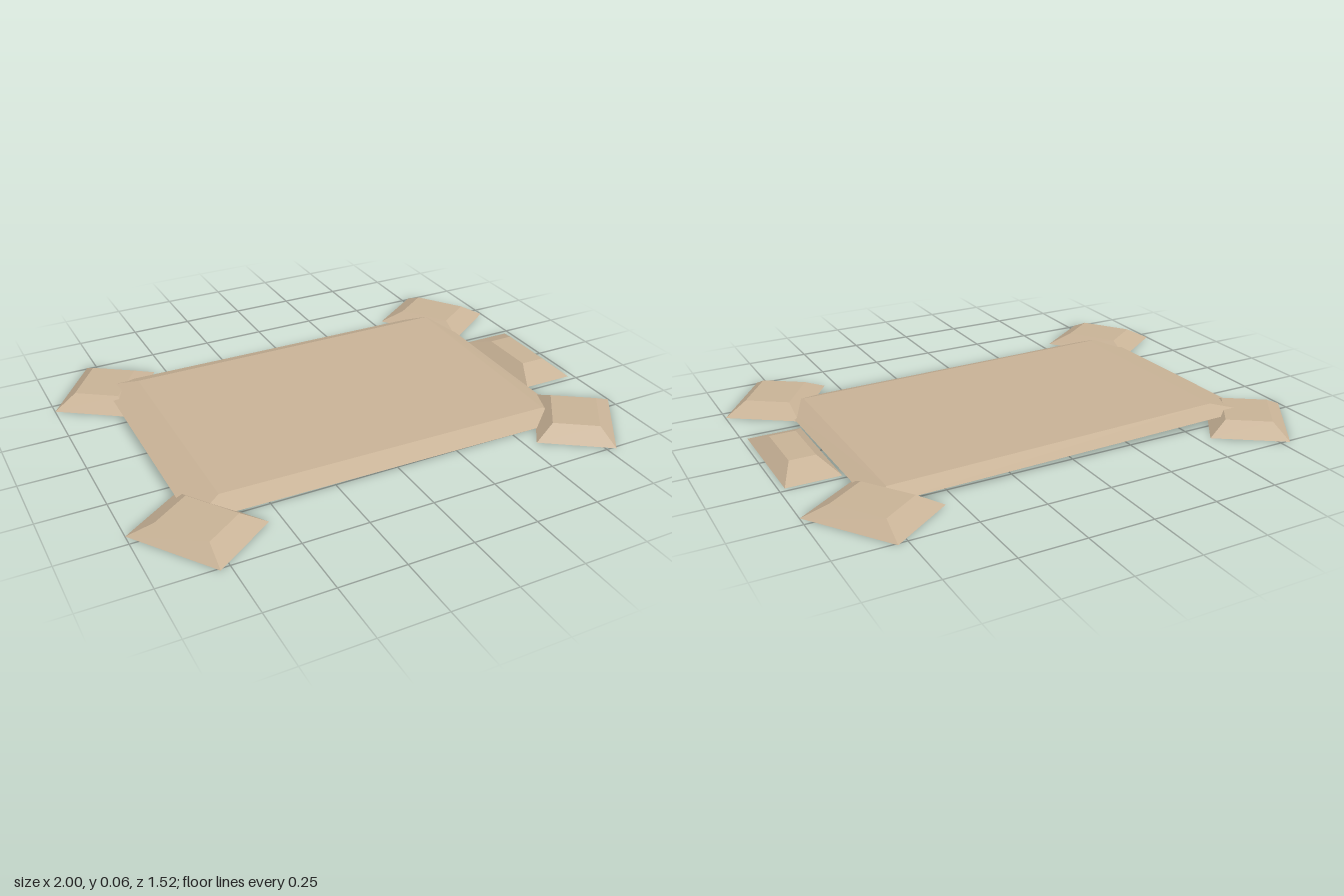
import * as THREE from 'three';

// Solid between two four-cornered loops, listed front-right, front-left, back-left, back-right
function frustum(base, top) {
  const pos = [];
  const quad = (a, b, c, d) => pos.push(...a, ...b, ...c, ...a, ...c, ...d);
  quad(...top);
  quad(...[...base].reverse());
  for (let i = 0; i < 4; i++) {
    const j = (i + 1) % 4;
    quad(base[i], base[j], top[j], top[i]);
  }
  const g = new THREE.BufferGeometry();
  g.setAttribute('position', new THREE.Float32BufferAttribute(pos, 3));
  g.computeVertexNormals();
  return g;
}

const rect = (x, y, z) => [[-x, y, z], [x, y, z], [x, y, -z], [-x, y, -z]];

export function createModel() {
  const model = new THREE.Group();
  const sand = new THREE.MeshStandardMaterial({ color: 0xc8b296 });
  sand.name = 'sand';
  const add = (name, geometry, x = 0, z = 0, turn = 0) => {
    const mesh = new THREE.Mesh(geometry, sand);
    mesh.name = name;
    mesh.position.set(x, 0, z);
    mesh.rotation.y = turn;
    model.add(mesh);
  };

  // Broad slab, tilted slightly up towards its back right corner
  const tilt = (points, y) => points.map(([x, z]) => [x, y - 0.0118 * x - 0.017 * z, z]);
  add('slab', frustum(
    tilt([[-0.785, 0.51], [0.77, 0.51], [0.77, -0.527], [-0.785, -0.513]], 0.018),
    tilt([[-0.66, 0.43], [0.69, 0.43], [0.7, -0.46], [-0.66, -0.44]], 0.046)
  ));

  // Bevelled blocks set diagonally at the corners
  const corner = frustum(rect(0.146, 0, 0.186), rect(0.088, 0.045, 0.108));
  for (const sx of [-1, 1]) for (const sz of [-1, 1]) {
    add((sz > 0 ? 'front' : 'back') + (sx > 0 ? 'Left' : 'Right') + 'Block',
      corner, sx * 0.773, sz * 0.524, -sx * sz * 0.608);
  }

  // Separate block beside the slab
  add('sideBlock', frustum(rect(0.103, 0, 0.228), rect(0.05, 0.045, 0.116)), 0.875, -0.003);

  return model;
}
